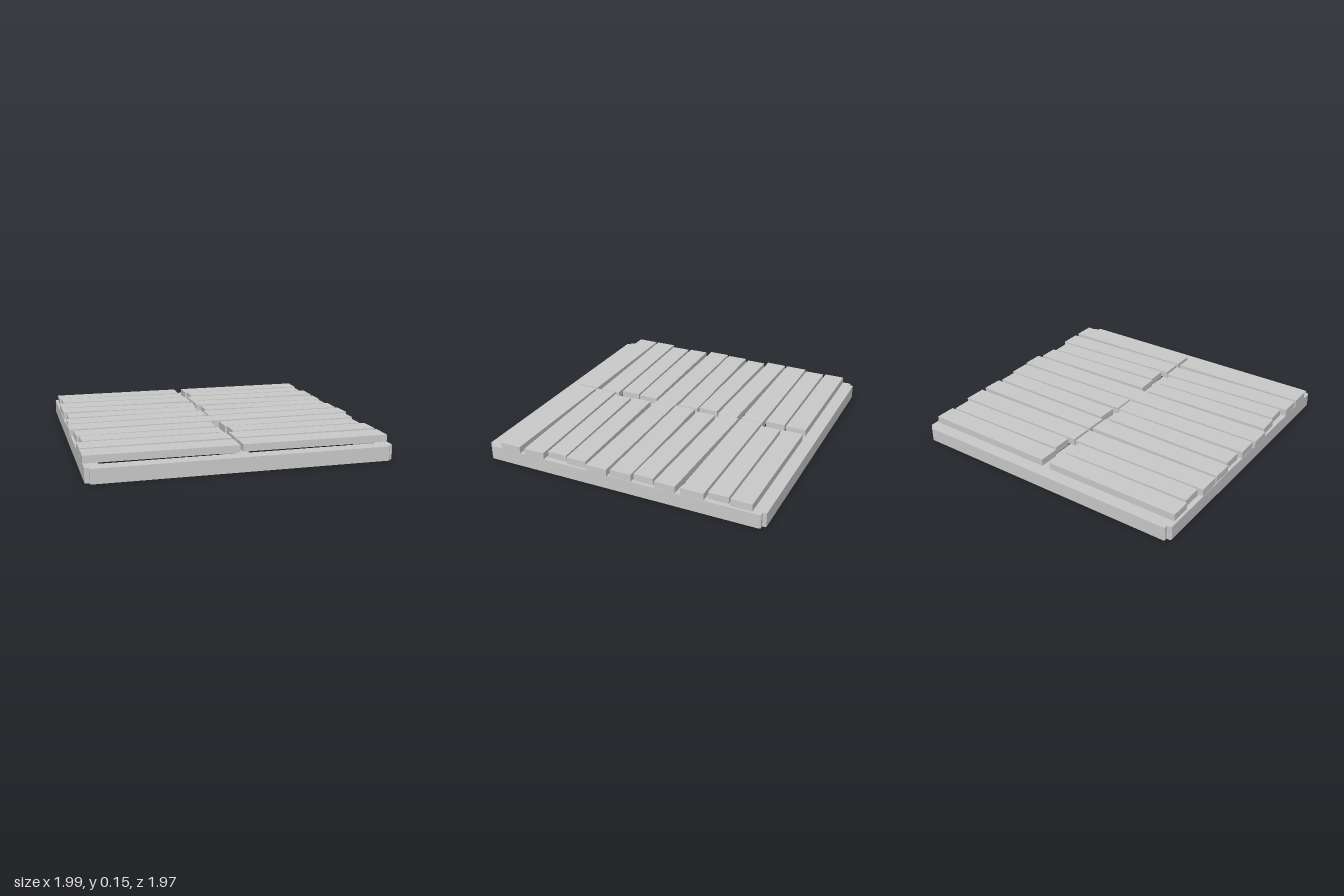
import * as THREE from 'three';

const material = new THREE.MeshStandardMaterial({ color: 0xcccccc, flatShading: true });

// Rows from back to front: outer x, inner x, z centre, depth, z change across the slat, end-to-end height drop
const rows = [
  [0.97, 0.03, -0.83, 0.14, 0, 0],
  [0.955, 0.043, -0.677, 0.135, 0, 0.006],
  [0.985, 0.006, -0.517, 0.153, 0, 0.004],
  [0.985, 0.006, -0.343, 0.142, 0.02, 0.006],
  [0.965, 0.03, -0.182, 0.136, 0.01, 0],
  [0.985, 0.006, -0.022, 0.146, -0.01, 0],
  [0.997, 0, 0.143, 0.148, -0.004, 0],
  [0.97, 0.03, 0.313, 0.138, -0.018, 0],
  [0.953, 0.043, 0.465, 0.134, -0.018, 0.006],
  [0.988, 0.008, 0.622, 0.145, -0.02, 0.006],
  [0.988, 0.01, 0.797, 0.148, 0, 0.004],
];

// Rectangular opening between the beams
function opening(x0, x1, z0, z1) {
  return new THREE.Path([
    new THREE.Vector2(x0, z0), new THREE.Vector2(x0, z1),
    new THREE.Vector2(x1, z1), new THREE.Vector2(x1, z0),
  ]);
}

// Base frame with small stepped corners and a centre beam
function buildFrame() {
  const corner = [[0.987, 0.95], [0.978, 0.96], [0.957, 0.96], [0.957, 0.978], [0.95, 0.985]];
  const reversed = [...corner].reverse();
  const outline = [
    ...corner,
    ...reversed.map(([x, z]) => [-x, z]),
    ...corner.map(([x, z]) => [-x, -z]),
    ...reversed.map(([x, z]) => [x, -z]),
  ];
  const shape = new THREE.Shape(outline.map(([x, z]) => new THREE.Vector2(x, z)));
  shape.holes.push(opening(-0.895, -0.043, -0.89, 0.89), opening(0.043, 0.895, -0.89, 0.89));
  const geometry = new THREE.ExtrudeGeometry(shape, { depth: 0.095, bevelEnabled: false });
  geometry.rotateX(-Math.PI / 2);
  const mesh = new THREE.Mesh(geometry, material);
  mesh.name = 'frame';
  return mesh;
}

// One deck slat, slightly skewed in plan and sloping along its length
function buildSlat(side, [outer, inner, z, depth, skew, drop]) {
  const length = outer - inner;
  const mesh = new THREE.Mesh(new THREE.BoxGeometry(length, 0.048, depth), material);
  mesh.position.set(side * (outer + inner) / 2, 0.119, z);
  mesh.rotation.set(0, -Math.atan2(skew, length), -Math.atan2(drop, length));
  mesh.name = side > 0 ? 'leftSlat' : 'rightSlat';
  return mesh;
}

export function createModel() {
  const model = new THREE.Group();
  model.name = 'slattedPlatform';
  model.add(buildFrame());
  const deck = new THREE.Group();
  deck.name = 'deck';
  for (const row of rows) for (const side of [-1, 1]) deck.add(buildSlat(side, row));
  model.add(deck);
  return model;
}
